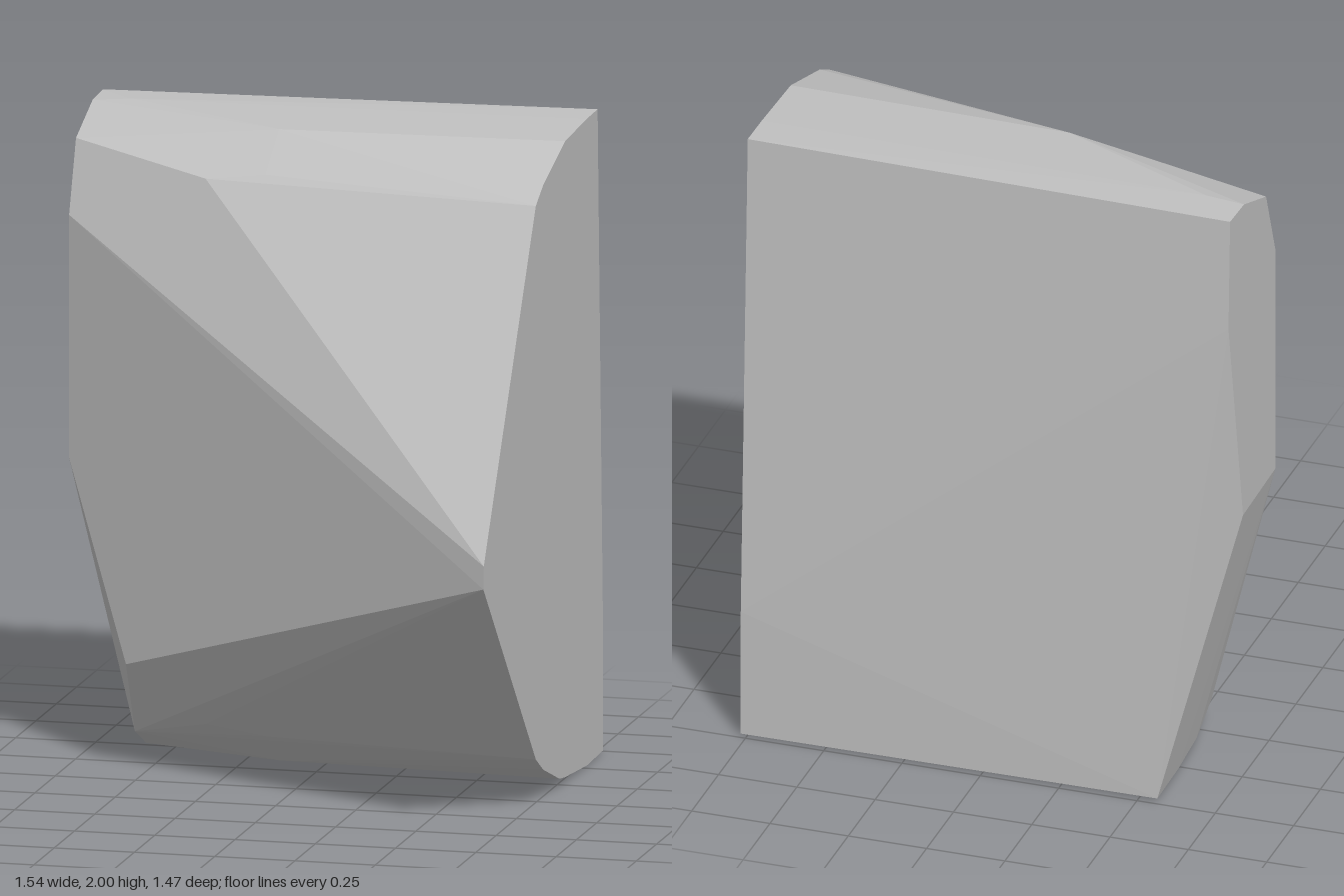
import * as THREE from 'three';
import { ConvexGeometry } from 'three/addons/geometries/ConvexGeometry.js';

// Outlines of the chunk at several x positions, each corner as [y, z]
const sections = [
  // sloping left end
  { x: -0.77, corners: [[1.98, -0.67], [1.975, -0.54], [1.9, -0.335], [1.68, -0.25], [0.93, -0.25], [0.92, -0.55], [1.62, -0.685]] },
  { x: -0.65, corners: [[1.985, -0.54]] },
  // lower left corner
  { x: -0.56, corners: [[0.01, -0.735], [0.015, -0.54], [0.035, -0.37], [0.1, -0.23], [0.33, -0.12]] },
  // bevel corners along the top and bottom
  { x: -0.31, corners: [[1.845, -0.112], [0.16, -0.112]] },
  { x: -0.12, corners: [[1.975, -0.27], [1.87, -0.1], [0.135, -0.1], [0.025, -0.27]] },
  // large flat right end
  { x: 0.77, corners: [
    [2, -0.67], [1.998, -0.54], [1.985, -0.27], [1.905, 0], [1.86, 0.09], [0.88, 0.73], [0.81, 0.735],
    [0.15, 0.09], [0.1, 0], [0.03, -0.2], [0.02, -0.27], [0, -0.54], [0.005, -0.735], [0.42, -0.735]] },
];

export function createModel() {
  const group = new THREE.Group();
  group.name = 'rockChunk';

  const stone = new THREE.MeshStandardMaterial({ color: 0xc0c0c0 });
  stone.name = 'stone grey';

  // Faceted convex body spanning all outlines
  const points = sections.flatMap(({ x, corners }) =>
    corners.map(([y, z]) => new THREE.Vector3(x, y, z)));
  const body = new THREE.Mesh(new ConvexGeometry(points), stone);
  body.name = 'facetedBody';
  group.add(body);

  return group;
}
